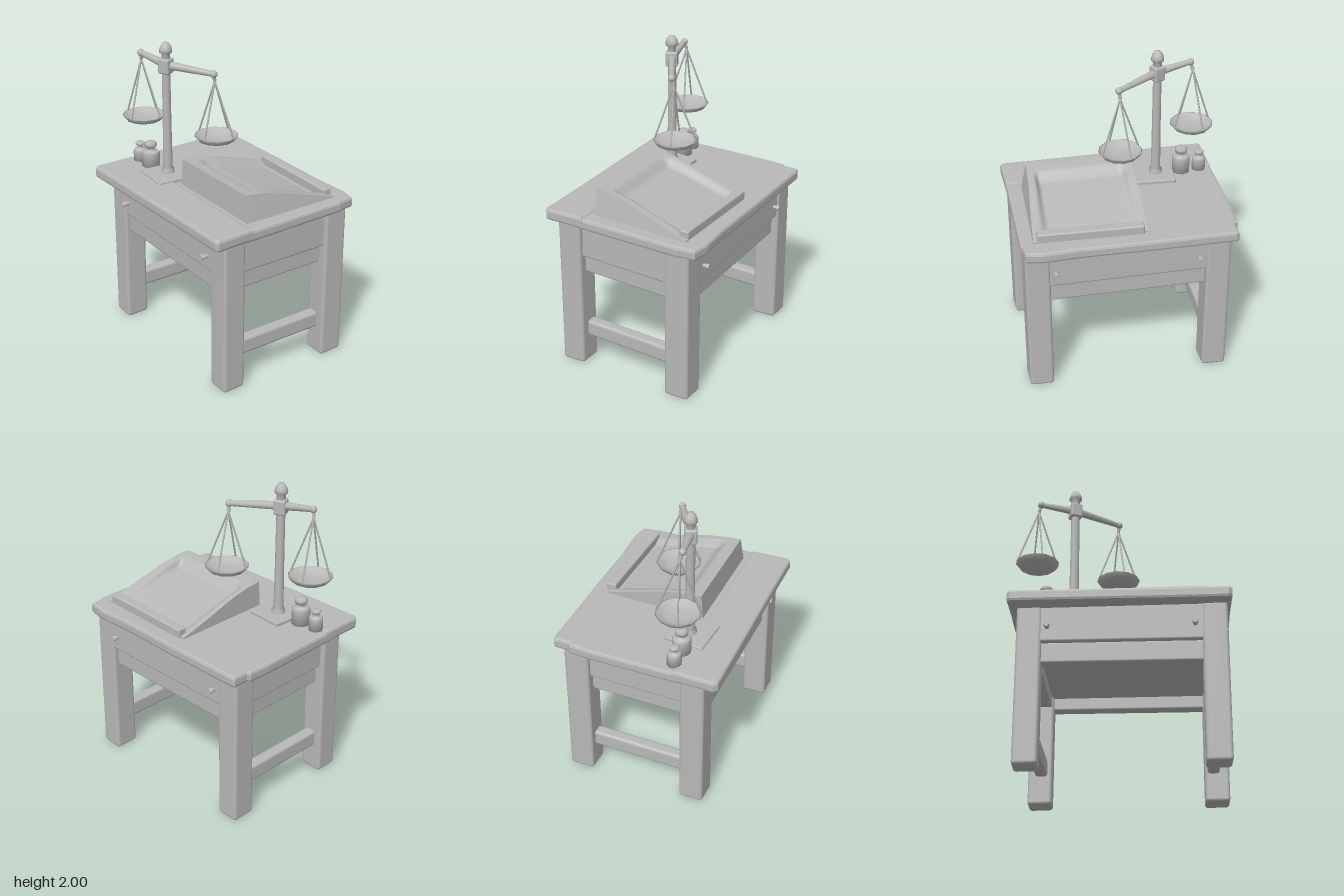
import * as THREE from 'three';
import { RoundedBoxGeometry } from 'three/addons/geometries/RoundedBoxGeometry.js';

export function createModel() {
  const model = new THREE.Group();
  model.name = 'scaleDesk';
  const grey = new THREE.MeshStandardMaterial({ color: 0xb8b8b8 });
  grey.name = 'grey';

  function add(name, geometry, x = 0, y = 0, z = 0, parent = model) {
    const mesh = new THREE.Mesh(geometry, grey);
    mesh.name = name;
    mesh.position.set(x, y, z);
    parent.add(mesh);
    return mesh;
  }

  // Worn timber block given by its bounds, with gently uneven corners
  function timber(name, x0, x1, y0, y1, z0, z1, radius = 0.014, wobble = 0.005) {
    const g = new RoundedBoxGeometry(x1 - x0, y1 - y0, z1 - z0, 2, radius);
    g.translate((x0 + x1) / 2, (y0 + y1) / 2, (z0 + z1) / 2);
    const p = g.attributes.position;
    for (let i = 0; i < p.count; i++) {
      const x = p.getX(i), y = p.getY(i), z = p.getZ(i);
      p.setXYZ(i,
        x + wobble * Math.sin(7 * z + 5 * y),
        Math.max(0, y + wobble * 0.6 * Math.sin(6 * x + 4 * z)),
        z + wobble * Math.sin(9 * x + 6 * y));
    }
    return add(name, g);
  }

  // Thin rod between two points
  function rod(name, a, b, r0, r1 = r0, sides = 8, parent = model) {
    const dir = b.clone().sub(a);
    const m = add(name, new THREE.CylinderGeometry(r1, r0, dir.length(), sides), 0, 0, 0, parent);
    m.position.copy(a).add(b).multiplyScalar(0.5);
    m.quaternion.setFromUnitVectors(new THREE.Vector3(0, 1, 0), dir.normalize());
    return m;
  }

  const lathe = (pts, sides) =>
    new THREE.LatheGeometry(pts.map(([x, y]) => new THREE.Vector2(x, y)), sides);

  // Table top planks: worn outlines in x and z with bevelled edges
  function plank(name, outline, y0, y1) {
    const bevel = 0.018;
    const shape = new THREE.Shape(outline.map(([x, z]) => new THREE.Vector2(x, -z)));
    const g = new THREE.ExtrudeGeometry(shape, {
      depth: y1 - y0 - 2 * bevel, bevelThickness: bevel, bevelSize: bevel, bevelOffset: -bevel, bevelSegments: 2,
    });
    g.rotateX(-Math.PI / 2);
    add(name, g, 0, y0 + bevel, 0);
  }
  plank('topPlankRight', [[-0.525, 0.702], [-0.265, 0.69], [-0.262, -0.692], [-0.54, -0.692], [-0.562, -0.67],
    [-0.553, -0.1], [-0.545, 0.3], [-0.542, 0.68]], 1.024, 1.102);
  plank('topPlankLeft', [[-0.31, 0.69], [0.43, 0.68], [0.44, 0.672], [0.535, 0.66], [0.555, 0.55], [0.543, 0.3],
    [0.548, -0.1], [0.545, -0.66], [0.535, -0.68], [0.435, -0.68], [0.42, -0.698], [0.28, -0.705],
    [-0.31, -0.692]], 1.018, 1.092);

  // Legs
  for (const [x0, x1] of [[-0.46, -0.3], [0.325, 0.49]]) {
    for (const [z0, z1] of [[0.51, 0.668], [-0.642, -0.485]]) timber('leg', x0, x1, 0, 1.04, z0, z1, 0.02);
  }

  // Front and back: apron, lower rail and foot stretcher
  for (const [zOut, s] of [[0.64, 1], [-0.62, -1]]) {
    const span = (d0, d1) => [zOut - s * d0, zOut - s * d1].sort((a, b) => a - b);
    timber('endApron', -0.32, 0.34, 0.795, 1.04, ...span(0.005, 0.07));
    timber('endRail', -0.32, 0.34, 0.672, 0.805, ...span(0.035, 0.12));
    timber('footStretcher', -0.32, 0.34, 0.185, 0.298, ...span(0.03, 0.11), 0.02);
  }

  // Sides: apron, lower rail and two pull knobs each
  for (const [xOut, s] of [[0.48, 1], [-0.453, -1]]) {
    const span = (d0, d1) => [xOut - s * d0, xOut - s * d1].sort((a, b) => a - b);
    timber('sideApron', ...span(0, 0.07), 0.792, 1.04, -0.5, 0.53);
    timber('sideRail', ...span(0.03, 0.115), 0.66, 0.8, -0.5, 0.53);
    for (const z of [0.47, -0.445]) {
      const base = new THREE.Vector3(xOut - s * 0.01, 0.89, z);
      const tip = new THREE.Vector3(xOut + s * 0.03, 0.89, z);
      rod('knobStem', base, tip, 0.014);
      rod('knob', tip, tip.clone().add(new THREE.Vector3(s * 0.016, 0, 0)), 0.02, 0.016);
    }
  }
  add('bottomPanel', new THREE.BoxGeometry(0.8, 0.03, 1.1), 0.012, 0.76, 0.01);

  // Writing slope: a block whose top follows a falling curve and is hollowed inside its rim
  const x0 = -0.24, x1 = 0.435, z0 = -0.125, z1 = 0.605, base = 1.07;
  const profile = [[-0.24, 1.264], [-0.13, 1.255], [0, 1.23], [0.2, 1.168], [0.36, 1.12], [0.44, 1.1]];
  function slopeHeight(x) {
    const i = Math.max(1, profile.findIndex(([px]) => px >= x));
    const [ax, ay] = profile[i - 1], [bx, by] = profile[i];
    return ay + (by - ay) * (x - ax) / (bx - ax);
  }
  const slope = new THREE.BoxGeometry(x1 - x0, 1, z1 - z0, 36, 1, 36);
  slope.translate((x0 + x1) / 2, 0.5, (z0 + z1) / 2);
  const sp = slope.attributes.position;
  const ramp = THREE.MathUtils.smoothstep;
  for (let i = 0; i < sp.count; i++) {
    const x = sp.getX(i), z = sp.getZ(i);
    const hollow = ramp(x, -0.15, -0.08) * ramp(z, -0.085, -0.045) * (1 - ramp(z, 0.5, 0.54));
    const y = sp.getY(i) > 0.5 ? slopeHeight(x) - hollow * 0.045 * (1 - x) : base;
    // Outer walls lean inward with height
    const lean = y - base, front = ramp(z, 0.45, z1), high = 1 - ramp(x, x0, -0.15);
    sp.setXYZ(i, x + high * lean * 0.07, y, z - front * (lean * 0.2 + 0.012 * (x1 - x)));
  }
  slope.computeVertexNormals();
  add('writingSlope', slope);
  const lip = add('slopeLip', new RoundedBoxGeometry(0.064, 0.09, 0.67, 2, 0.012), 0.411, 1.105, 0.238);
  lip.rotation.y = -0.025;

  // Balance scale: foot plate, pillar, collar and finial
  const scale = new THREE.Group();
  scale.name = 'balanceScale';
  model.add(scale);
  const px = -0.225, pz = -0.305;
  const plate = add('footPlate', new RoundedBoxGeometry(0.265, 0.03, 0.26, 2, 0.008), -0.235, 1.1, -0.295, scale);
  plate.rotation.y = -0.06;
  add('pillar', lathe([[0.045, 1.1], [0.044, 1.135], [0.032, 1.15], [0.029, 1.5], [0.028, 1.82]], 10), px, 0, pz, scale);
  const collar = add('collar', new RoundedBoxGeometry(0.078, 0.1, 0.078, 2, 0.012), px, 1.845, pz, scale);
  collar.rotation.y = 0.42;
  add('finial', lathe([[0.028, 1.885], [0.028, 1.925], [0.042, 1.935], [0.042, 1.955],
    [0.034, 1.975], [0.02, 1.996], [0, 2]], 10), px, 0, pz, scale);

  // Beam arms with hung pans
  const hub = new THREE.Vector3(px, 1.85, pz);
  const arms = [
    { end: [-0.052, 1.832, -0.025], pan: [-0.03, 1.37, -0.03] },
    { end: [-0.27, 1.88, -0.53], pan: [-0.25, 1.4, -0.545] },
  ];
  for (const { end, pan } of arms) {
    const tip = new THREE.Vector3(...end);
    rod('beamArm', hub, tip, 0.028, 0.018, 8, scale);
    add('beamEnd', new THREE.SphereGeometry(0.024, 10, 8), ...end, scale);
    const hook = new THREE.Vector3((tip.x + pan[0]) / 2, tip.y - 0.05, pan[2]);
    rod('hook', tip, hook, 0.009, 0.012, 6, scale);
    add('pan', lathe([[0, 0], [0.075, 0.002], [0.12, 0.02], [0.142, 0.048],
      [0.134, 0.05], [0.11, 0.03], [0.07, 0.016], [0, 0.014]], 12), ...pan, scale);
    for (let i = 0; i < 4; i++) {
      const a = -0.36 + i * Math.PI / 2;
      const rim = new THREE.Vector3(pan[0] + 0.135 * Math.cos(a), pan[1] + 0.046, pan[2] + 0.135 * Math.sin(a));
      rod('cord', hook, rim, 0.006, 0.006, 5, scale);
    }
  }

  // Two knobbed weights
  for (const [x, z, r, h] of [[-0.245, -0.482, 0.06, 0.115], [-0.25, -0.605, 0.046, 0.09]]) {
    const k = r / 0.06;
    add('weight', lathe([[0, 0], [r, 0], [r, h - 0.012], [r * 0.85, h], [0.024 * k, h + 0.004],
      [0.022 * k, h + 0.025], [0.04 * k, h + 0.03], [0.042 * k, h + 0.052 * k], [0.03 * k, h + 0.064 * k],
      [0, h + 0.066 * k]], 12), x, 1.093, z);
  }

  return model;
}
